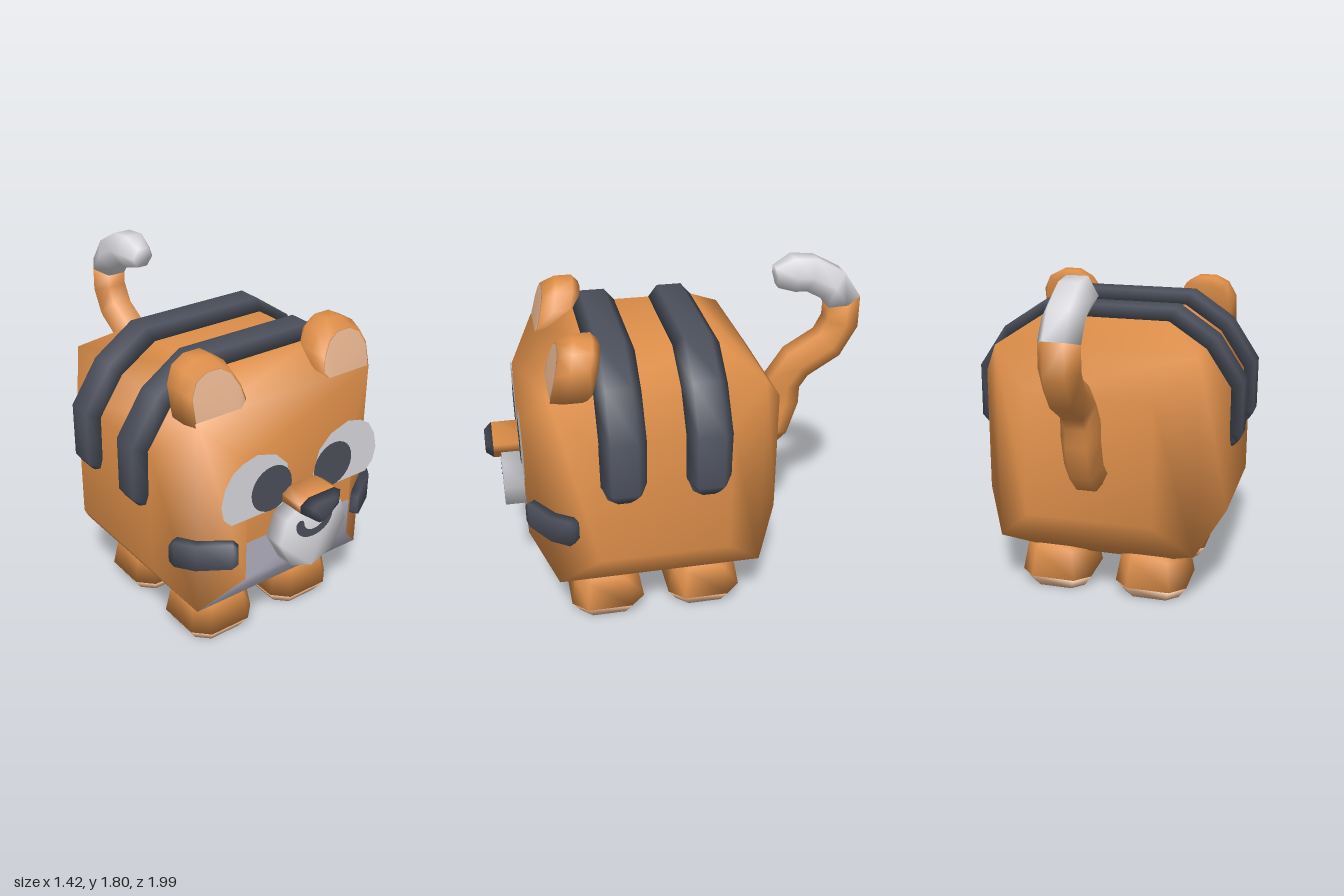
import * as THREE from 'three';
import { mergeVertices } from 'three/addons/utils/BufferGeometryUtils.js';

const material = (name, color, side = THREE.FrontSide) => {
  const m = new THREE.MeshStandardMaterial({ color, side });
  m.name = name;
  return m;
};

// Smooth closed skin through rings of equal point count, capped at both ends
function loft(rings) {
  const n = rings[0].length, pts = rings.flat(), idx = [];
  for (let r = 0; r < rings.length - 1; r++) {
    for (let i = 0; i < n; i++) {
      const a = r * n + i, b = r * n + (i + 1) % n;
      idx.push(a, b, b + n, a, b + n, a + n);
    }
  }
  const last = (rings.length - 1) * n;
  for (let i = 1; i < n - 1; i++) idx.push(0, i + 1, i, last, last + i, last + i + 1);
  // Turn every face outward whatever the ring direction
  let volume = 0;
  const [a, b, c] = [0, 0, 0].map(() => new THREE.Vector3());
  for (let i = 0; i < idx.length; i += 3) {
    a.fromArray(pts[idx[i]]); b.fromArray(pts[idx[i + 1]]); c.fromArray(pts[idx[i + 2]]);
    volume += a.dot(b.cross(c));
  }
  if (volume < 0) idx.reverse();
  const g = new THREE.BufferGeometry();
  g.setAttribute('position', new THREE.Float32BufferAttribute(pts.flat(), 3));
  g.setIndex(idx);
  g.computeVertexNormals();
  return g;
}

// Chamfered cube: each side is a raised square joined to the cube corners
function bodyGeometry() {
  const F = 0.655, S = 0.33, C = 0.525, split = -0.12;
  const lists = [[], []];
  const quad = (list, p) => {
    const v = p.map((q) => new THREE.Vector3(...q));
    const nrm = v[1].clone().sub(v[0]).cross(v[2].clone().sub(v[0]));
    if (nrm.dot(v[0].clone().add(v[2])) < 0) p.reverse();
    list.push(...[0, 1, 2, 0, 2, 3].flatMap((i) => p[i]));
  };
  for (let axis = 0; axis < 3; axis++) {
    for (const s of [-1, 1]) {
      const at = (u, v, d) => {
        const p = [0, 0, 0];
        p[axis] = s * d; p[(axis + 1) % 3] = u; p[(axis + 2) % 3] = v;
        return p;
      };
      const front = axis === 2 && s > 0, bottom = axis === 1 && s < 0;
      const corners = [[-1, -1], [1, -1], [1, 1], [-1, 1]];
      const square = (v0, v1) => [at(-S, v0, F), at(S, v0, F), at(S, v1, F), at(-S, v1, F)];
      if (front) {
        quad(lists[1], square(-S, split));
        quad(lists[0], square(split, S));
      } else quad(lists[bottom ? 1 : 0], square(-S, S));
      corners.forEach(([u, v], i) => {
        const [u2, v2] = corners[(i + 1) % 4];
        const grey = (front && v < 0 && v2 < 0) || (bottom && u > 0 && u2 > 0);
        quad(lists[grey ? 1 : 0],
          [at(u * S, v * S, F), at(u2 * S, v2 * S, F), at(u2 * C, v2 * C, C), at(u * C, v * C, C)]);
      });
    }
  }
  let g = new THREE.BufferGeometry();
  g.setAttribute('position', new THREE.Float32BufferAttribute(lists.flat(), 3));
  g = mergeVertices(g);
  g.addGroup(0, lists[0].length / 3, 0);
  g.addGroup(lists[0].length / 3, lists[1].length / 3, 1);
  g.computeVertexNormals();
  return g;
}

const flat = (pts) => new THREE.ShapeGeometry(new THREE.Shape(pts.map((p) => new THREE.Vector2(...p))));

export function createModel() {
  const model = new THREE.Group();
  model.name = 'stripedCubeAnimal';
  const orange = material('orange fur', 0xe0904a);
  const dark = material('dark slate', 0x4c505c, THREE.DoubleSide);
  const white = material('white fur', 0xdcdce1, THREE.DoubleSide);
  const grey = material('belly grey', 0xb6b3c4);
  const cream = material('cream skin', 0xe6b48f, THREE.DoubleSide);
  const add = (name, geometry, mat, x = 0, y = 0, z = 0) => {
    const mesh = new THREE.Mesh(geometry, mat);
    mesh.name = name;
    mesh.position.set(x, y, z);
    model.add(mesh);
    return mesh;
  };

  add('body', bodyGeometry(), [orange, grey], 0, 0.855, 0.165);

  // Bands over the back: [base x, base y, outer x, outer y, base half width, outer half width]
  const half = [
    [0.645, 0.85, 0.66, 0.853, 0.04, 0.03], [0.645, 0.88, 0.685, 0.88, 0.09, 0.05],
    [0.645, 0.96, 0.71, 0.92, 0.12, 0.065], [0.65, 1.18, 0.71, 1.2, 0.12, 0.065],
    [0.52, 1.375, 0.565, 1.42, 0.12, 0.065], [0.33, 1.505, 0.35, 1.565, 0.12, 0.065],
  ];
  const band = [...half, ...half.map(([a, b, c, d, e, f]) => [-a, b, -c, d, e, f]).reverse()];
  for (const [name, z] of [['frontBackStripe', 0.368], ['rearBackStripe', -0.05]]) {
    add(name, loft(band.map(([bx, by, ox, oy, wb, wo]) =>
      [[bx, by, -wb], [ox, oy, -wo], [ox, oy, wo], [bx, by, wb]])), dark, 0, 0, z);
  }

  // Feet with cream soles
  const footRing = (w, y) => [[1, -0.6], [1, 0.6], [0.6, 1], [-0.6, 1], [-1, 0.6], [-1, -0.6], [-0.6, -1], [0.6, -1]]
    .map(([x, z]) => [x * w, y, z * w]);
  const leg = loft([footRing(0.195, 0.07), footRing(0.168, 0.225), footRing(0.13, 0.262)]);
  const sole = loft([footRing(0.15, 0), footRing(0.195, 0.07)]);
  for (const [end, z] of [['front', 0.428], ['back', -0.098]]) {
    for (const s of [1, -1]) {
      const side = s > 0 ? 'Left' : 'Right';
      add(`${end}${side}Leg`, leg, orange, s * 0.265, 0, z);
      add(`${end}${side}Sole`, sole, cream, s * 0.265, 0, z);
    }
  }

  // Paired face parts
  const earOutline = [[-0.115, -0.02], [-0.17, 0.04], [-0.15, 0.12], [-0.1, 0.205], [-0.035, 0.245],
    [0.055, 0.245], [0.125, 0.21], [0.165, 0.13], [0.165, -0.02]];
  const eyeOutline = [[0.07, 0.98], [0.1, 1.1], [0.17, 1.17], [0.28, 1.205], [0.36, 1.185], [0.42, 1.15],
    [0.465, 1.08], [0.485, 0.995], [0.47, 0.92], [0.425, 0.873], [0.12, 0.873], [0.08, 0.89]];
  // Cheek marks wrap the front corners: [inner x, inner z, outer x, outer z, half height]
  const cheek = [[0.36, 0.797, 0.385, 0.83, 0.045], [0.38, 0.78, 0.41, 0.818, 0.07],
    [0.515, 0.685, 0.56, 0.725, 0.07], [0.575, 0.6, 0.622, 0.637, 0.07], [0.595, 0.585, 0.636, 0.612, 0.045]];
  for (const s of [1, -1]) {
    const side = s > 0 ? 'left' : 'right';
    const earRing = (k, z) => earOutline.map(([x, y]) => [s * (0.385 + x * k), 1.38 + y * k, z - 0.26 * y * k]);
    add(`${side}Ear`, loft([earRing(0.89, 0.682), earRing(1, 0.62), earRing(1, 0.53), earRing(0.85, 0.485)]), orange);
    add(`${side}InnerEar`, loft([earRing(0.84, 0.687), earRing(0.84, 0.68)]), cream);
    add(`${side}EyeWhite`, flat(eyeOutline.map(([x, y]) => [s * x, y])), white, 0, 0, 0.824);
    add(`${side}Pupil`, new THREE.CircleGeometry(0.122, 24), dark, s * 0.192, 0.995, 0.829);
    add(`${side}CheekMark`, loft(cheek.map(([ix, iz, ox, oz, h]) =>
      [[s * ix, -h, iz], [s * ox, -h, oz], [s * ox, h, oz], [s * ix, h, iz]])), dark, 0, 0.684, 0);
  }

  // Muzzle, mouth and nose
  const muzzle = [[0, 0.53], [0.13, 0.58], [0.208, 0.73], [0.17, 0.85], [0.1, 0.895],
    [-0.1, 0.895], [-0.17, 0.85], [-0.208, 0.73], [-0.13, 0.58]];
  add('muzzle', loft([0.81, 0.923].map((z) => muzzle.map(([x, y]) => [x, y, z]))), white);
  add('mouth', new THREE.RingGeometry(0.064, 0.115, 20, 1, Math.PI, Math.PI), dark, 0, 0.8, 0.927).scale.y = 0.8;
  for (const s of [1, -1]) add('mouthCorner', new THREE.CircleGeometry(0.0255, 12), dark, s * 0.0895, 0.8, 0.927);
  const nose = [[0, -0.1], [0.125, 0], [0.125, 0.04], [0.08, 0.07], [-0.08, 0.07], [-0.125, 0.04], [-0.125, 0]];
  const noseRing = (k, z) => nose.map(([x, y]) => [x * k, 0.9 + y * k, z]);
  add('noseBridge', loft([noseRing(1, 0.81), noseRing(1, 0.96)]), orange);
  add('noseTip', loft([noseRing(1, 0.96), noseRing(0.65, 1)]), dark);

  // Curled six-sided tail: [z, y] along its middle
  const path = [[-0.46, 0.77], [-0.555, 0.85], [-0.6, 1.0], [-0.605, 1.107], [-0.675, 1.21], [-0.84, 1.31],
    [-0.905, 1.43], [-0.905, 1.55], [-0.84, 1.645], [-0.72, 1.71], [-0.63, 1.715], [-0.54, 1.7]];
  const tail = path.map(([z, y], i) => {
    const p = path[Math.max(i - 1, 0)], q = path[Math.min(i + 1, path.length - 1)];
    const len = Math.hypot(q[0] - p[0], q[1] - p[1]);
    const tz = (q[0] - p[0]) / len, ty = (q[1] - p[1]) / len;
    const r = i === path.length - 1 ? 0.062 : 0.102;
    return Array.from({ length: 6 }, (_, k) => {
      const x = r * Math.cos(k * Math.PI / 3), o = r * Math.sin(k * Math.PI / 3);
      return [x, y + tz * o, z - ty * o];
    });
  });
  add('tail', loft(tail.slice(0, 8)), orange);
  add('tailTip', loft(tail.slice(7)), white);

  return model;
}
